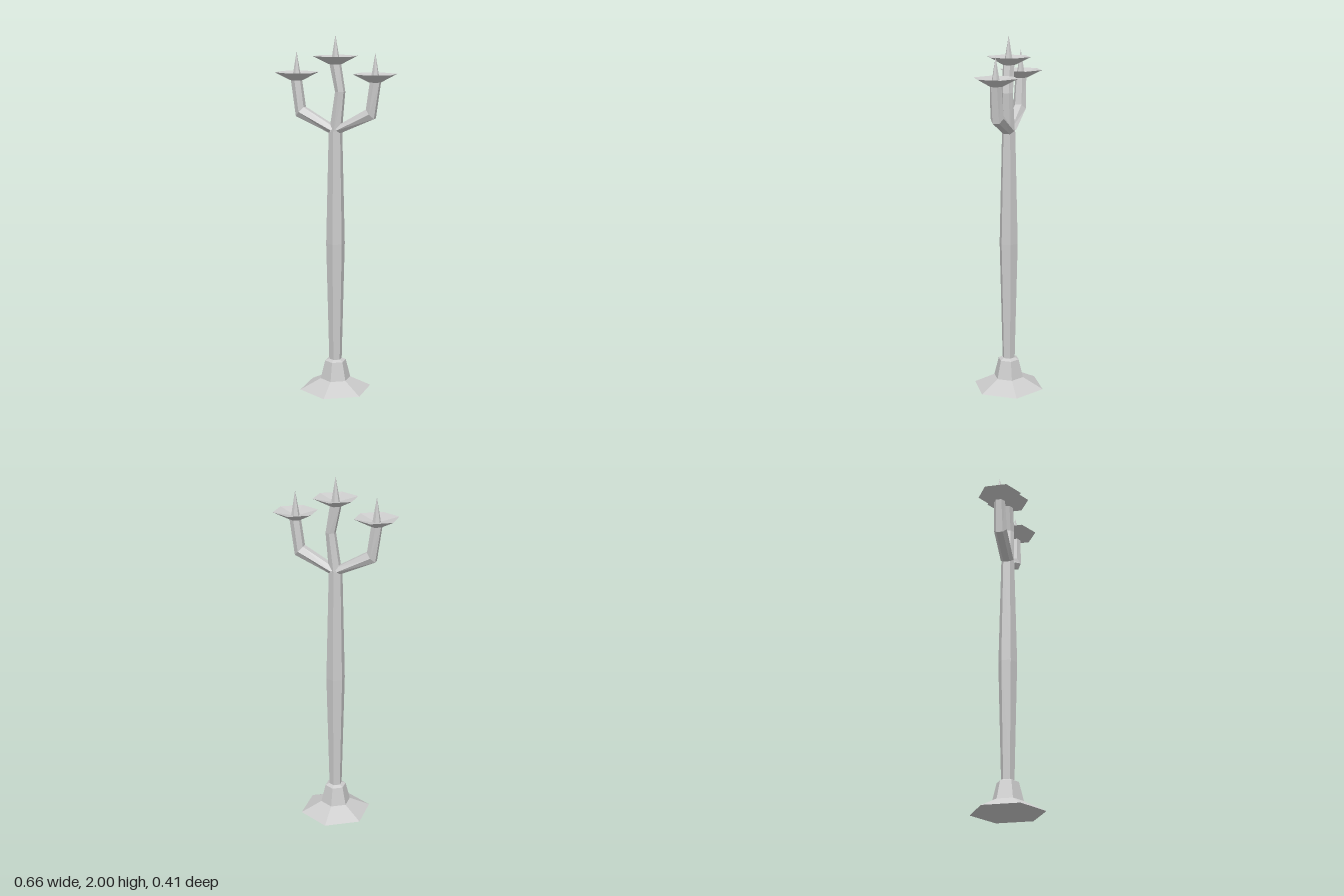
import * as THREE from 'three';

const material = new THREE.MeshStandardMaterial({ color: 0xcccccc, flatShading: true });

function addMesh(parent, name, geometry) {
  const flat = geometry.index ? geometry.toNonIndexed() : geometry;
  flat.computeVertexNormals();
  const mesh = new THREE.Mesh(flat, material);
  mesh.name = name;
  parent.add(mesh);
  return mesh;
}

// Six-sided turned part from [radius, height] pairs, corners on +z and -z
function turned(profile) {
  return new THREE.LatheGeometry(profile.map(([r, y]) => new THREE.Vector2(r, y)), 6);
}

// Hexagonal bar through rings: centre x, y; half width vector ax, ay; corner depth d
function bar(rings) {
  const positions = [], index = [];
  for (const { x, y, ax, ay, d } of rings) {
    for (let k = 0; k < 6; k++) {
      const t = k * Math.PI / 3;
      const s = Math.sin(t) / Math.sin(Math.PI / 3);
      positions.push(x + ax * s, y + ay * s, d * Math.cos(t));
    }
  }
  for (let i = 0; i < rings.length - 1; i++) {
    for (let k = 0; k < 6; k++) {
      const a = i * 6 + k, b = i * 6 + (k + 1) % 6;
      index.push(a, b, b + 6, a, b + 6, a + 6);
    }
  }
  const geometry = new THREE.BufferGeometry();
  geometry.setAttribute('position', new THREE.Float32BufferAttribute(positions, 3));
  geometry.setIndex(index);
  return geometry;
}

// Shallow drip dish with a spike for the candle
function candleHolder(x, y) {
  const holder = new THREE.Group();
  holder.name = 'candleHolder';
  addMesh(holder, 'dripDish', turned([[0, 0], [0.035, 0], [0.123, 0.044], [0, 0.017]]));
  addMesh(holder, 'candleSpike', turned([[0.024, 0.017], [0, 0.157]]));
  holder.position.set(x, y, 0);
  return holder;
}

export function createModel() {
  const model = new THREE.Group();
  model.name = 'candelabrum';

  // Foot and shaft
  addMesh(model, 'foot', turned([[0, 0], [0.204, 0], [0.086, 0.06], [0.06, 0.165], [0.038, 0.175], [0, 0.175]]));
  addMesh(model, 'shaft', turned([[0.036, 0.17], [0.053, 0.85], [0.038, 1.48], [0, 1.485]]));

  // Bent middle stem
  addMesh(model, 'middleStem', bar([
    { x: 0, y: 1.47, ax: 0.031, ay: 0, d: 0.036 },
    { x: 0.027, y: 1.695, ax: 0.024, ay: 0, d: 0.033 },
    { x: -0.001, y: 1.845, ax: 0.028, ay: 0, d: 0.032 },
  ]));
  model.add(candleHolder(0, 1.843));

  // Side arms, turned half round for the second
  ['leftArm', 'rightArm'].forEach((name, i) => {
    const arm = new THREE.Group();
    arm.name = name;
    addMesh(arm, 'armBar', bar([
      { x: 0.016, y: 1.486, ax: 0.016, ay: -0.016, d: 0.037 },
      { x: 0.202, y: 1.58, ax: 0.023, ay: -0.025, d: 0.037 },
      { x: 0.227, y: 1.755, ax: 0.027, ay: 0, d: 0.032 },
    ]));
    arm.add(candleHolder(0.225, 1.751));
    arm.rotation.y = i * Math.PI;
    model.add(arm);
  });

  return model;
}
